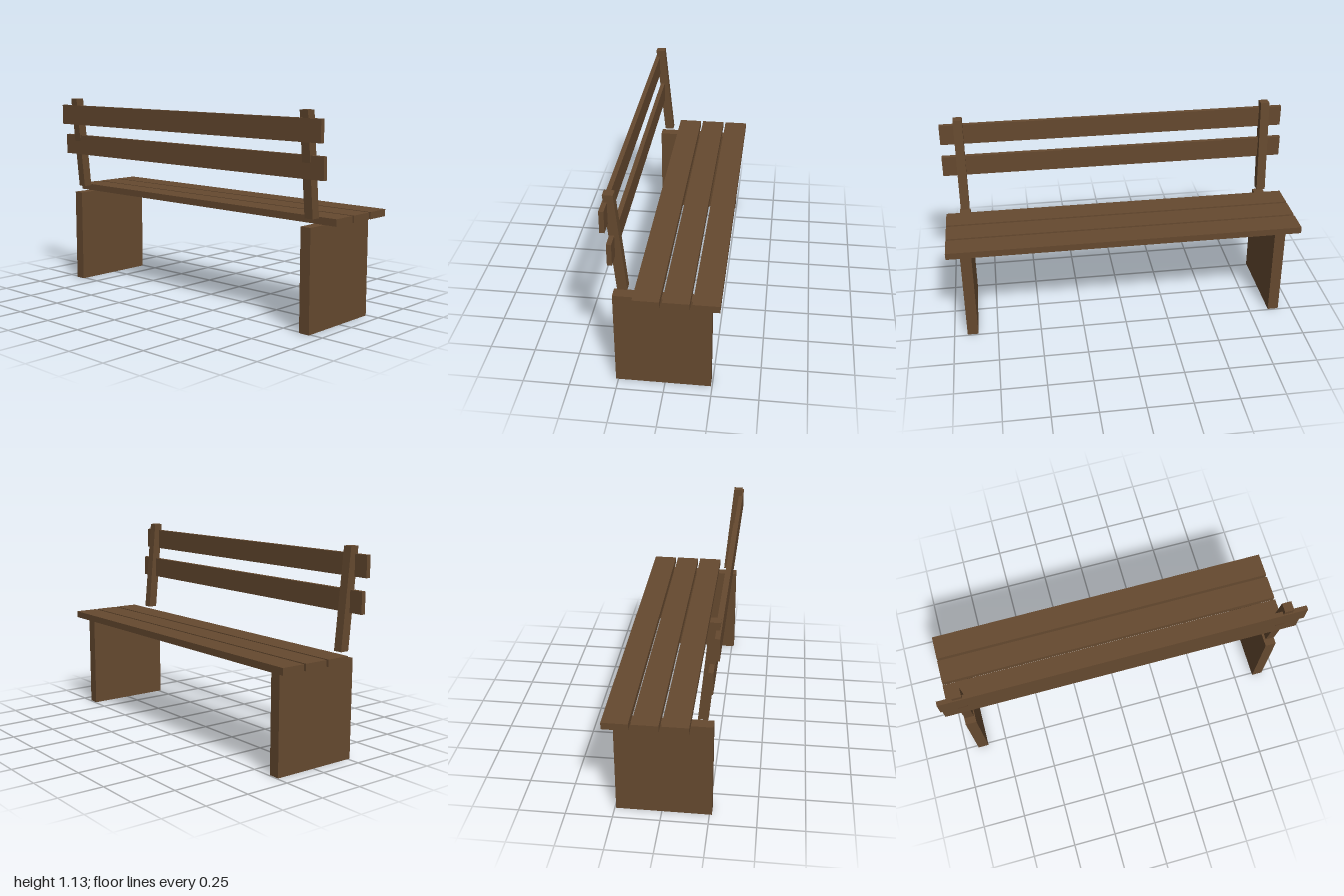
import * as THREE from 'three';

export function createModel() {
  const bench = new THREE.Group();
  bench.name = 'bench';
  const wood = new THREE.MeshStandardMaterial({ color: 0x65492f, flatShading: true });

  // Box given by its extents on each axis
  function board(name, [x0, x1], [y0, y1], [z0, z1]) {
    const geometry = new THREE.BoxGeometry(x1 - x0, y1 - y0, z1 - z0);
    geometry.translate((x0 + x1) / 2, (y0 + y1) / 2, (z0 + z1) / 2);
    const mesh = new THREE.Mesh(geometry, wood);
    mesh.name = name;
    bench.add(mesh);
    return mesh;
  }

  // Three seat planks with narrow gaps
  for (let i = 0; i < 3; i++) {
    const z = -0.289 + i * 0.151;
    board('seatPlank' + (i + 1), [-1, 1], [0.55, 0.588], [z, z + 0.137]);
  }

  // Two upright backrest slats, the upper one set further out
  board('lowerBackSlat', [-1, 1], [0.79, 0.909], [0.238, 0.263]);
  board('upperBackSlat', [-1, 1], [0.975, 1.093], [0.266, 0.291]);

  // Slab legs and leaning back posts, one of each per side
  for (const [side, s] of [['left', 1], ['right', -1]]) {
    const span = (a, b) => (s > 0 ? [a, b] : [-b, -a]);
    board(side + 'Leg', span(0.863, 0.925), [0, 0.55], [-0.243, 0.263]);

    const post = board(side + 'BackPost', span(0.866, 0.917), [0.588, 1.133], [0.184, 0.236]);
    // Lean the post while keeping its ends level
    const p = post.geometry.attributes.position;
    for (let i = 0; i < p.count; i++) {
      p.setZ(i, p.getZ(i) + ((p.getY(i) - 0.588) / 0.545) * 0.052);
    }
    post.geometry.computeVertexNormals();
  }

  return bench;
}
